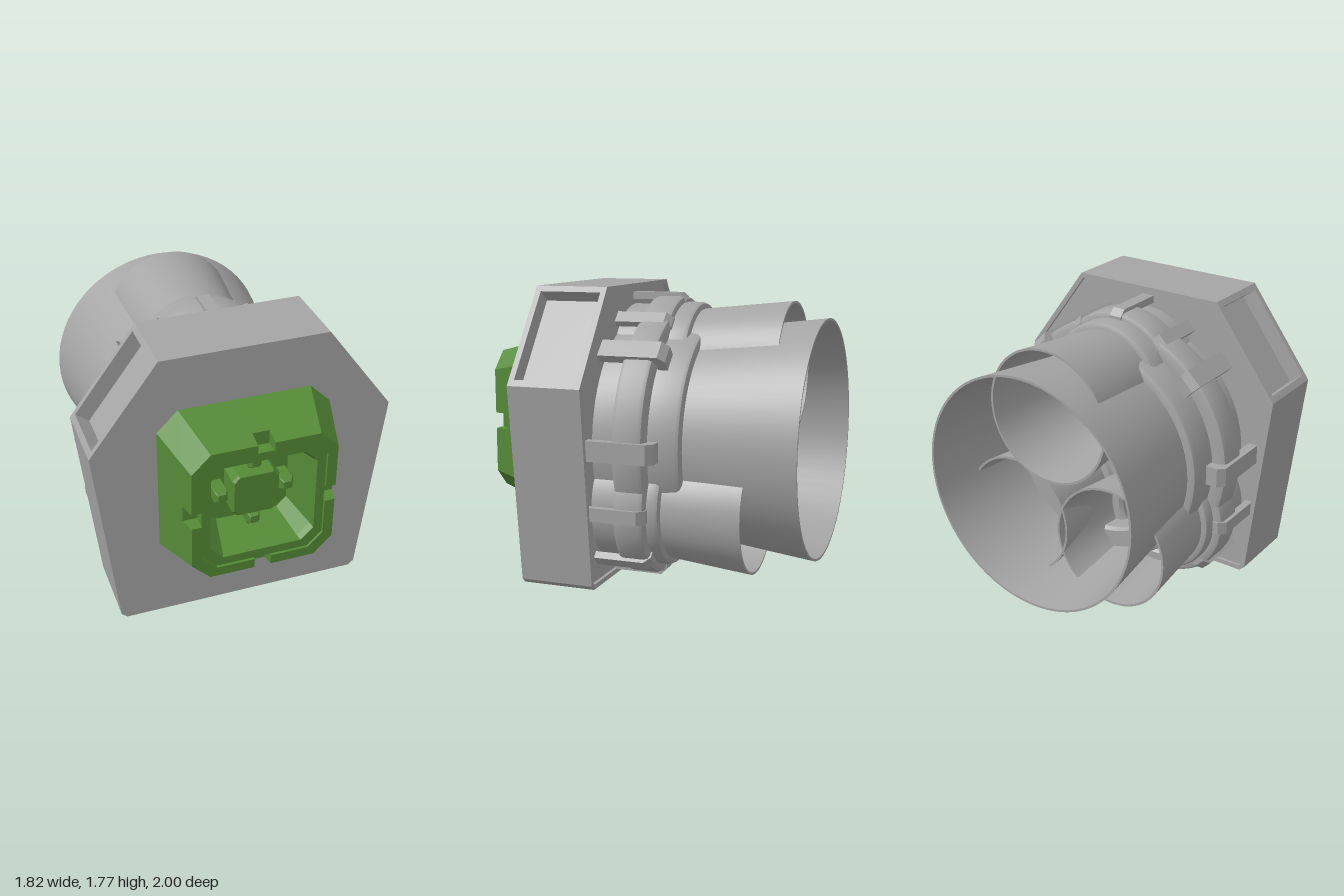
import * as THREE from 'three';
import { toCreasedNormals } from 'three/addons/utils/BufferGeometryUtils.js';

const grey = new THREE.MeshStandardMaterial({ name: 'hullGrey', color: 0xa4a4a4, side: THREE.DoubleSide });
const green = new THREE.MeshStandardMaterial({ name: 'socketGreen', color: 0x548a36 });
const rad = THREE.MathUtils.degToRad;

function add(parent, name, geo, mat, x = 0, y = 0, z = 0) {
  const mesh = new THREE.Mesh(geo, mat);
  mesh.name = name;
  mesh.position.set(x, y, z);
  parent.add(mesh);
  return mesh;
}

// Right half outline (top to bottom) mirrored into a full closed outline
function mirrored(half) {
  const left = half.map(([x, y]) => [-x, y]).reverse();
  return [...half, ...left].map(([x, y]) => new THREE.Vector2(x, y));
}

function slab(points, z0, z1, hole) {
  const shape = new THREE.Shape(points);
  if (hole) shape.holes.push(new THREE.Path(hole));
  return new THREE.ExtrudeGeometry(shape, { depth: z1 - z0, bevelEnabled: false }).translate(0, 0, z0);
}

// Octagonal rings: each profile entry is [halfWidth, chamfer, z]; gap leaves a notch mid-side
function octagonBand(profile, gap = 0, capEnds = false, fillLast = false) {
  const v = [];
  const tri = (a, b, c) => v.push(...a, ...b, ...c);
  const rings = profile.map(([h, c, z]) => [[h, gap, z], [h, h - c, z], [h - c, h, z], [gap, h, z]]);
  for (let q = 0; q < 4; q++) {
    const cs = Math.round(Math.cos(q * Math.PI / 2)), sn = Math.round(Math.sin(q * Math.PI / 2));
    const R = rings.map(r => r.map(([x, y, z]) => [x * cs - y * sn, x * sn + y * cs, z]));
    for (let k = 0; k < R.length - 1; k++) {
      for (let i = 0; i < 3; i++) {
        tri(R[k][i], R[k][i + 1], R[k + 1][i + 1]);
        tri(R[k][i], R[k + 1][i + 1], R[k + 1][i]);
      }
    }
    if (capEnds) {
      for (let k = 1; k < R.length - 1; k++) {
        tri(R[0][0], R[k][0], R[k + 1][0]);
        tri(R[0][3], R[k + 1][3], R[k][3]);
      }
    }
    if (fillLast) {
      const last = R[R.length - 1];
      for (let i = 0; i < 3; i++) tri([0, 0, last[0][2]], last[i], last[i + 1]);
    }
  }
  const geo = new THREE.BufferGeometry();
  geo.setAttribute('position', new THREE.Float32BufferAttribute(v, 3));
  geo.computeVertexNormals();
  return geo;
}

// Hook-shaped clamp lying along the engine, pointing out along +x
function clampGeometry(outer, inner, end, width, thick) {
  const shape = new THREE.Shape([
    [outer, -0.23], [outer, end - 0.04], [outer - 0.04, end], [inner, end],
    [inner, end - 0.06], [outer - thick, end - 0.06], [outer - thick, -0.23],
  ].map(([r, d]) => new THREE.Vector2(r, d)));
  return new THREE.ExtrudeGeometry(shape, { depth: width, bevelEnabled: false })
    .translate(0, 0, -width / 2).rotateX(-Math.PI / 2);
}

// One engine: mount neck, rounded collar, rounded ring, flared bell and recessed throat
function engine(name, o) {
  const g = new THREE.Group();
  g.name = name;
  g.position.set(o.x, o.y, 0);
  const { neck, collar, ring, end, r0, r1, length } = o;
  const lathe = (pts) => toCreasedNormals(new THREE.LatheGeometry(
    pts.map(([r, d]) => new THREE.Vector2(r, d)), 64).rotateX(-Math.PI / 2), 0.6);
  add(g, 'mountRings', lathe([
    [neck, -0.23], [neck, -0.075], [collar - 0.03, -0.075], [collar - 0.009, -0.066], [collar, -0.045],
    [collar, 0.085], [collar - 0.009, 0.107], [collar - 0.03, 0.117], [ring, 0.117],
    [ring, end - 0.03], [ring - 0.009, end - 0.009], [ring - 0.03, end], [r0 - 0.02, end],
  ]), grey);
  add(g, 'bell', lathe([[r0, end - 0.02], [r1, length], [r1 - 0.014, length], [r0 - 0.014, end - 0.02]]), grey);
  const t = r0 * 0.82;
  add(g, 'throat', lathe([[r0 - 0.01, end + 0.01], [t, end + 0.01], [t - 0.02, end - 0.01],
    [t - 0.02, end - 0.16], [0, end - 0.16]]), grey);
  for (const a of o.clamps) {
    add(g, 'clamp', clampGeometry(collar + 0.02, ring - 0.02, o.clampEnd, o.clampWidth, o.clampThick), grey)
      .rotation.z = rad(a);
  }
  return g;
}

export function createModel() {
  const model = new THREE.Group();
  model.name = 'engineModule';

  // Hull: front plate, middle with deep side recesses, back plate and thin rear rim
  const outline = mirrored([[0.5, 1.77], [0.91, 1.22], [0.775, 0.03], [0.74, 0]]);
  const notched = mirrored([[0.5, 1.77], [0.524, 1.738], [0.444, 1.678], [0.805, 1.194],
    [0.885, 1.254], [0.91, 1.22], [0.775, 0.03], [0.74, 0]]);
  const inset = mirrored([[0.485, 1.74], [0.878, 1.212], [0.745, 0.04], [0.73, 0.03]]);
  const hull = new THREE.Group();
  hull.name = 'hull';
  add(hull, 'frontPlate', slab(outline, 0.625, 0.66), grey);
  add(hull, 'middleBlock', slab(notched, 0.24, 0.625), grey);
  add(hull, 'backPlate', slab(outline, 0.225, 0.24), grey);
  add(hull, 'rearRim', slab(outline, 0.205, 0.225, inset), grey);
  model.add(hull);

  // Docking socket on the front
  const socket = new THREE.Group();
  socket.name = 'dockingSocket';
  socket.position.y = 0.92;
  add(socket, 'socketBody', octagonBand([[0.521, 0.125, 0.66], [0.454, 0.114, 0.91], [0.368, 0.088, 0.91],
    [0.368, 0.088, 0.985], [0.315, 0.075, 0.985], [0.305, 0.075, 0.95], [0.25, 0.06, 0.72]], 0, false, true), green);
  add(socket, 'notchedLip', octagonBand([[0.454, 0.114, 0.91], [0.43, 0.11, 1],
    [0.37, 0.09, 1], [0.367, 0.09, 0.91]], 0.05, true), green);
  add(socket, 'centreBlock', octagonBand([[0.142, 0.035, 0.72], [0.142, 0.035, 0.855],
    [0.132, 0.033, 0.87]], 0, false, true), green);
  for (let i = 0; i < 4; i++) {
    const a = i * Math.PI / 2;
    add(socket, 'pin', octagonBand([[0.04, 0.006, 0.72], [0.04, 0.006, 0.83], [0.024, 0.004, 0.855]],
      0, false, true), green, 0.2 * Math.cos(a), 0.2 * Math.sin(a));
  }
  model.add(socket);

  // Engine cluster: one large, one upper, two mirrored lower
  model.add(engine('mainEngine', {
    x: 0, y: 0.85, neck: 0.7, collar: 0.79, ring: 0.7, end: 0.31, r0: 0.645, r1: 0.732, length: 1,
    clamps: [0, 45, 135, 180, -90], clampEnd: 0.185, clampWidth: 0.12, clampThick: 0.06,
  }));
  const small = { neck: 0.375, collar: 0.43, clampEnd: 0.125, clampWidth: 0.08, clampThick: 0.045 };
  model.add(engine('upperEngine', {
    ...small, x: 0, y: 1.267, ring: 0.393, end: 0.235, r0: 0.352, r1: 0.413, length: 0.795, clamps: [45, 90, 135],
  }));
  for (const s of [1, -1]) {
    model.add(engine(s > 0 ? 'lowerLeftEngine' : 'lowerRightEngine', {
      ...small, x: s * 0.347, y: 0.473, ring: 0.375, end: 0.19, r0: 0.332, r1: 0.384, length: 0.68,
      clamps: [0, -45, -90].map(a => (s > 0 ? a : 180 - a)),
    }));
  }
  return model;
}
